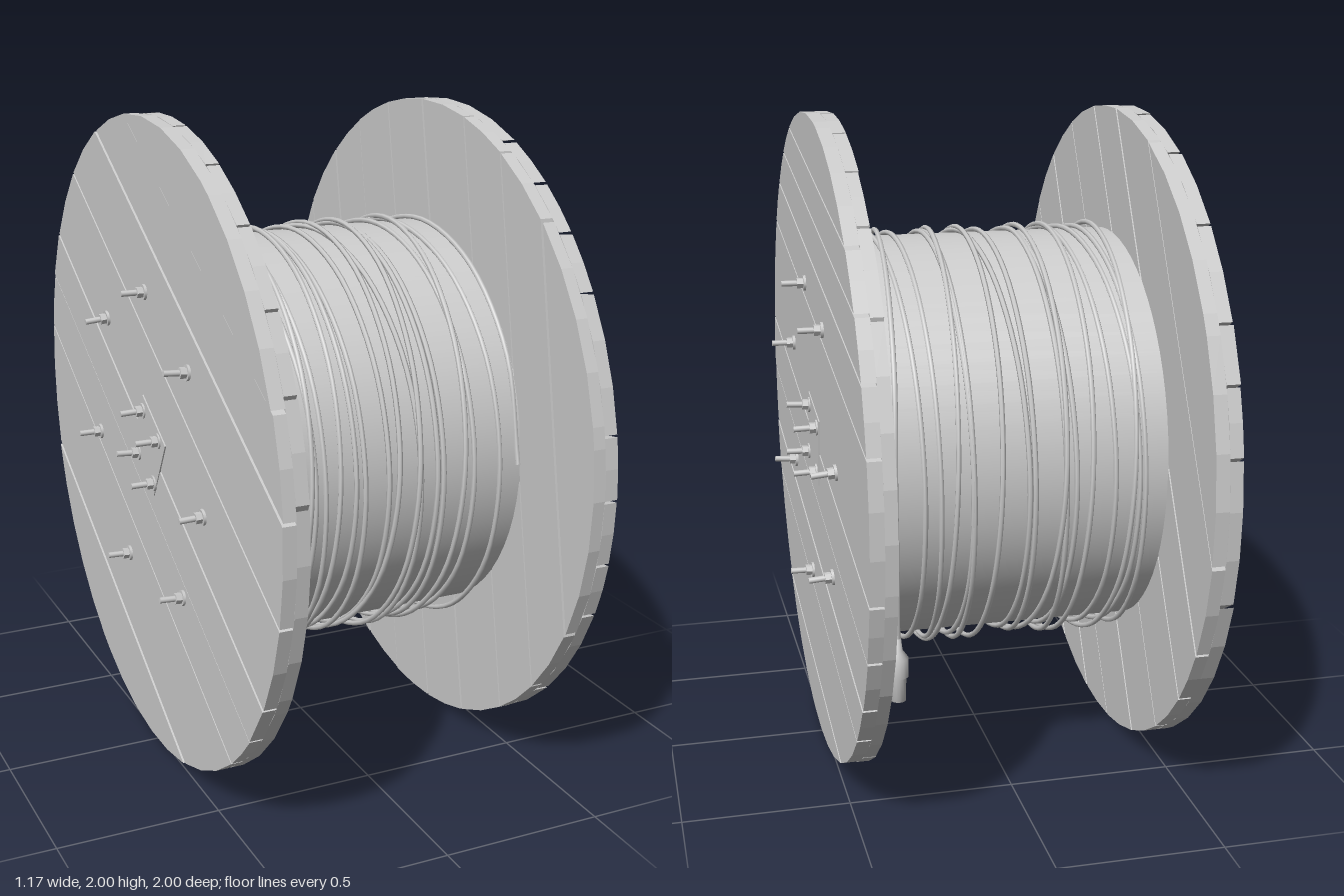
import * as THREE from 'three';

const grey = new THREE.MeshStandardMaterial({ color: 0xcccccc });
grey.name = 'plain grey';

function seeded(seed) {
  return () => {
    seed = (seed * 16807) % 2147483647;
    return seed / 2147483647;
  };
}

function add(parent, name, geometry) {
  const mesh = new THREE.Mesh(geometry, grey);
  mesh.name = name;
  parent.add(mesh);
  return mesh;
}

// Strip of a unit disc between two heights
function plankShape(v0, v1) {
  const a0 = Math.asin(v0), a1 = Math.asin(v1);
  const n = Math.max(1, Math.ceil((a1 - a0) / 0.17));
  const right = [];
  for (let i = 0; i <= n; i++) {
    const a = a0 + ((a1 - a0) * i) / n;
    right.push(new THREE.Vector2(Math.cos(a), Math.sin(a)));
  }
  const left = right.map((p) => new THREE.Vector2(-p.x, p.y)).reverse();
  return new THREE.Shape([...right, ...left]);
}

// One layer of parallel boards; x0 is its lower face, degrees its direction
function plankLayer(name, seams, degrees, x0, x1, rand, jitterLow) {
  const layer = new THREE.Group();
  layer.name = name;
  const edges = [-0.9995, ...seams, 0.9995];
  for (let i = 0; i < edges.length - 1; i++) {
    const j = rand() * 0.005;
    const low = jitterLow ? x0 + j : x0;
    const high = jitterLow ? x1 : x1 - j * 0.5;
    const g = new THREE.ExtrudeGeometry(
      plankShape(edges[i] + (i ? 0.004 : 0), edges[i + 1] - (i < edges.length - 2 ? 0.004 : 0)),
      { depth: high - low, bevelEnabled: false });
    g.translate(0, 0, low);
    g.rotateZ(THREE.MathUtils.degToRad(degrees));
    g.rotateY(Math.PI / 2);
    add(layer, 'plank', g);
  }
  layer.position.y = 1;
  return layer;
}

// Washer, hexagonal nut and threaded end, pointing out along side * x
function bolt(side, z, y, rand) {
  const group = new THREE.Group();
  group.name = 'bolt';
  add(group, 'washer', new THREE.CylinderGeometry(0.024, 0.024, 0.008, 16)).position.y = 0.004;
  const nut = new THREE.CylinderGeometry(0.017, 0.017, 0.02, 6).toNonIndexed();
  nut.computeVertexNormals();
  add(group, 'nut', nut).position.y = 0.017;
  add(group, 'boltShaft', new THREE.CylinderGeometry(0.009, 0.009, 0.075, 10)).position.y = 0.0375;
  group.position.set(side * 0.511, y, z);
  group.rotation.z = -side * Math.PI / 2 + (rand() - 0.5) * 0.2;
  return group;
}

function cableCurve(rand) {
  const turns = 17, firstPass = 12, step = Math.PI / 6;
  const wander = Array.from({ length: 2 * turns + 4 }, () => rand() - 0.5);
  const points = [];
  const total = turns * 2 * Math.PI + Math.PI;
  for (let i = 0; i * step <= total + 1e-6; i++) {
    const a = i * step, t = a / (2 * Math.PI);
    // Neat first layer, then a steeper layer back across it
    const x = t < firstPass
      ? THREE.MathUtils.lerp(0.40, -0.41, t / firstPass)
      : THREE.MathUtils.lerp(-0.41, 0.33, (t - firstPass) / (turns + 0.5 - firstPass));
    const k = Math.floor(a / Math.PI + 1e-6);
    const w = THREE.MathUtils.lerp(wander[k], wander[k + 1], THREE.MathUtils.smoothstep(a / Math.PI - k, 0, 1));
    const sag = Math.max(0, -Math.sin(a)) * 0.025 * (wander[k] + 0.5);
    const r = 0.629 + (t > firstPass ? 0.01 : 0) + sag;
    points.push(new THREE.Vector3(
      THREE.MathUtils.clamp(x + w * 0.1, -0.418, 0.418), 1 + r * Math.sin(a), r * Math.cos(a)));
  }
  // Loose end hanging down the back
  const end = points[points.length - 1];
  points.push(new THREE.Vector3(end.x, 0.8, -0.645), new THREE.Vector3(end.x, 0.56, -0.64));
  const curve = new THREE.CatmullRomCurve3(points);
  curve.arcLengthDivisions = 4000;
  return curve;
}

export function createModel() {
  const model = new THREE.Group();
  model.name = 'cableDrum';
  const rand = seeded(4177);

  // Core
  const core = add(model, 'core', new THREE.CylinderGeometry(0.62, 0.62, 0.87, 64));
  core.rotation.z = Math.PI / 2;
  core.position.y = 1;

  // Flanges: two crossed layers of boards on each side
  const outerLeft = [-0.84, -0.55, -0.385, -0.19, 0, 0.4, 0.57, 0.715, 0.845].map((c) => c * 0.983);
  const outerRight = [-0.72, -0.36, -0.17, 0, 0.3, 0.57, 0.78];
  const innerLeft = [-0.72, -0.5, -0.3, -0.08, 0.15, 0.4, 0.6, 0.8];
  const innerRight = [-0.8, -0.6, -0.4, -0.15, 0.1, 0.35, 0.55, 0.78];
  model.add(
    plankLayer('leftFlangeOuter', outerLeft, -10.4, 0.47, 0.512, rand, false),
    plankLayer('leftFlangeInner', innerLeft, 79.6, 0.43, 0.47, rand, true),
    plankLayer('rightFlangeOuter', outerRight, 30, -0.512, -0.47, rand, true),
    plankLayer('rightFlangeInner', innerRight, -60, -0.47, -0.43, rand, false));

  // Hub plates
  for (const [side, degrees] of [[1, 10.4], [-1, -30]]) {
    const plate = add(model, 'hubPlate', new THREE.BoxGeometry(0.006, 0.22, 0.22));
    plate.position.set(side * 0.511, 1, 0);
    plate.rotation.x = -THREE.MathUtils.degToRad(degrees);
  }

  // Bolts, as z and y on each flange
  const leftBolts = [[0.11, 1.47], [-0.25, 1.4], [0.42, 1.21], [-0.46, 1.03], [0.44, 0.8], [-0.35, 0.67],
    [0.09, 0.53], [0.07, 1.09], [-0.09, 1.06], [0.1, 0.93], [-0.06, 0.91]];
  const rightBolts = [[0, 1.48], [0.35, 1.32], [-0.36, 1.32], [0.45, 0.92], [-0.47, 0.91], [0.27, 0.6],
    [-0.21, 0.57], [-0.04, 1.1], [0.09, 1.04], [-0.09, 0.95], [0.04, 0.89]];
  for (const [z, y] of leftBolts) model.add(bolt(1, z, y, rand));
  for (const [z, y] of rightBolts) model.add(bolt(-1, z, y, rand));

  // Wound cable with a plug on its loose end
  const curve = cableCurve(rand);
  add(model, 'cable', new THREE.TubeGeometry(curve, 1300, 0.008, 6, false));
  const end = curve.getPoint(1);
  const profile = [[0, -0.17], [0.022, -0.17], [0.024, -0.1], [0.031, -0.095], [0.031, -0.04], [0.014, -0.015], [0.01, 0.02], [0, 0.02]];
  const plug = add(model, 'plug', new THREE.LatheGeometry(profile.map(([r, y]) => new THREE.Vector2(r, y)), 16));
  plug.position.copy(end);

  return model;
}
